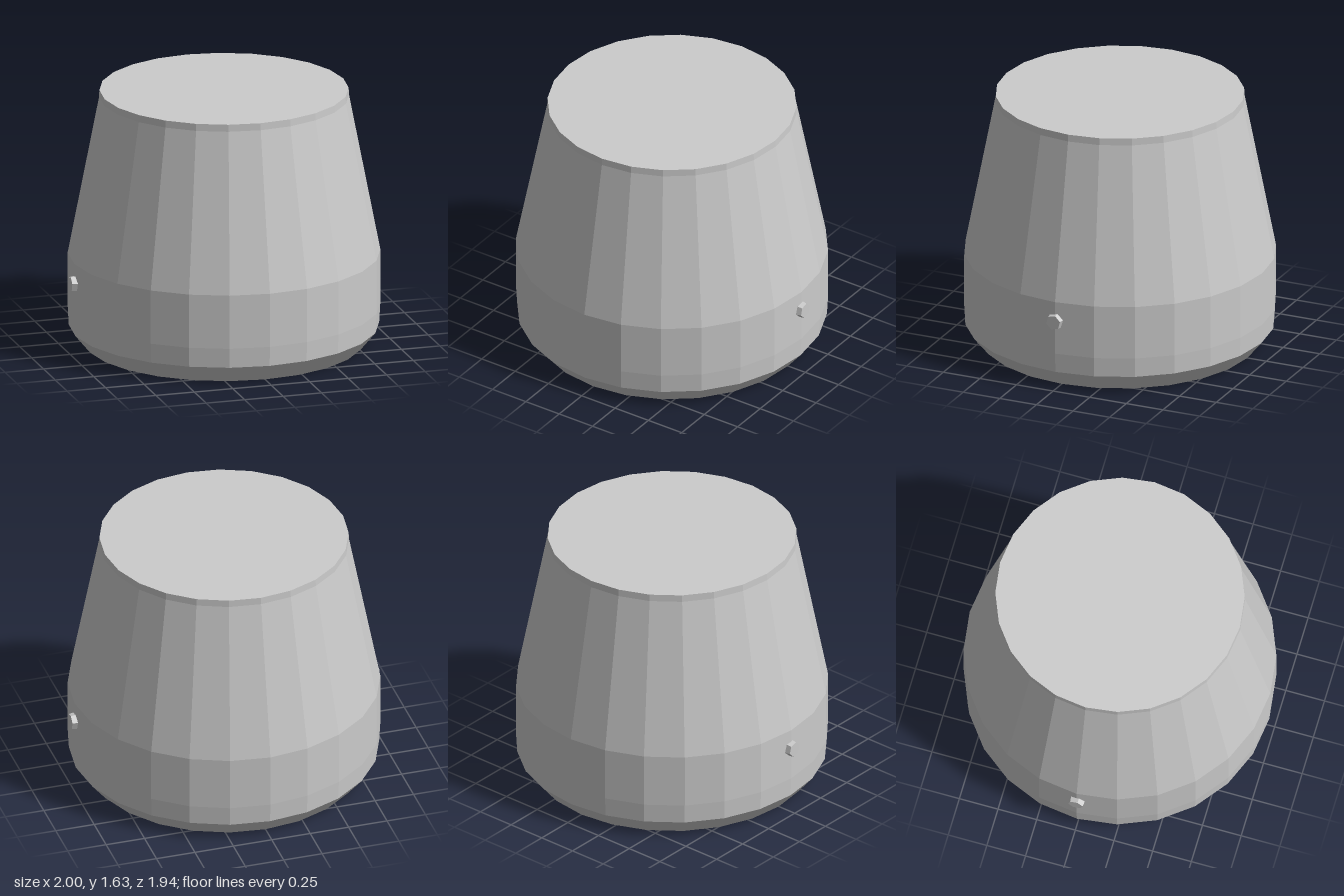
import * as THREE from 'three';

const SIDES = 24;

export function createModel() {
  const model = new THREE.Group();
  const material = new THREE.MeshStandardMaterial({ color: 0xcccccc, flatShading: true });

  function addPart(name, geometry, parent = model) {
    const flat = geometry.toNonIndexed();
    flat.computeVertexNormals();
    const mesh = new THREE.Mesh(flat, material);
    mesh.name = name;
    parent.add(mesh);
    return mesh;
  }

  // Faceted tapered body: recessed base, foot rim, chamfer, belly, shoulder and short collar
  const profile = [
    [0, 0.06], [0.805, 0.06], [0.81, 0], [0.87, 0],
    [0.965, 0.115], [0.972, 0.24], [0.972, 0.585],
    [0.777, 1.59], [0.775, 1.635], [0, 1.635],
  ].map(([r, y]) => new THREE.Vector2(r, y));
  addPart('body', new THREE.LatheGeometry(profile, SIDES));

  // Small six-sided stud on each side of the belly
  for (const side of [1, -1]) {
    const stud = new THREE.CylinderGeometry(0.048, 0.056, 0.05, 6);
    stud.rotateY(0.25);
    stud.rotateZ(-side * Math.PI / 2);
    const mesh = addPart(side > 0 ? 'leftStud' : 'rightStud', stud);
    mesh.position.set(side * 0.975, 0.457, 0);
  }

  return model;
}
